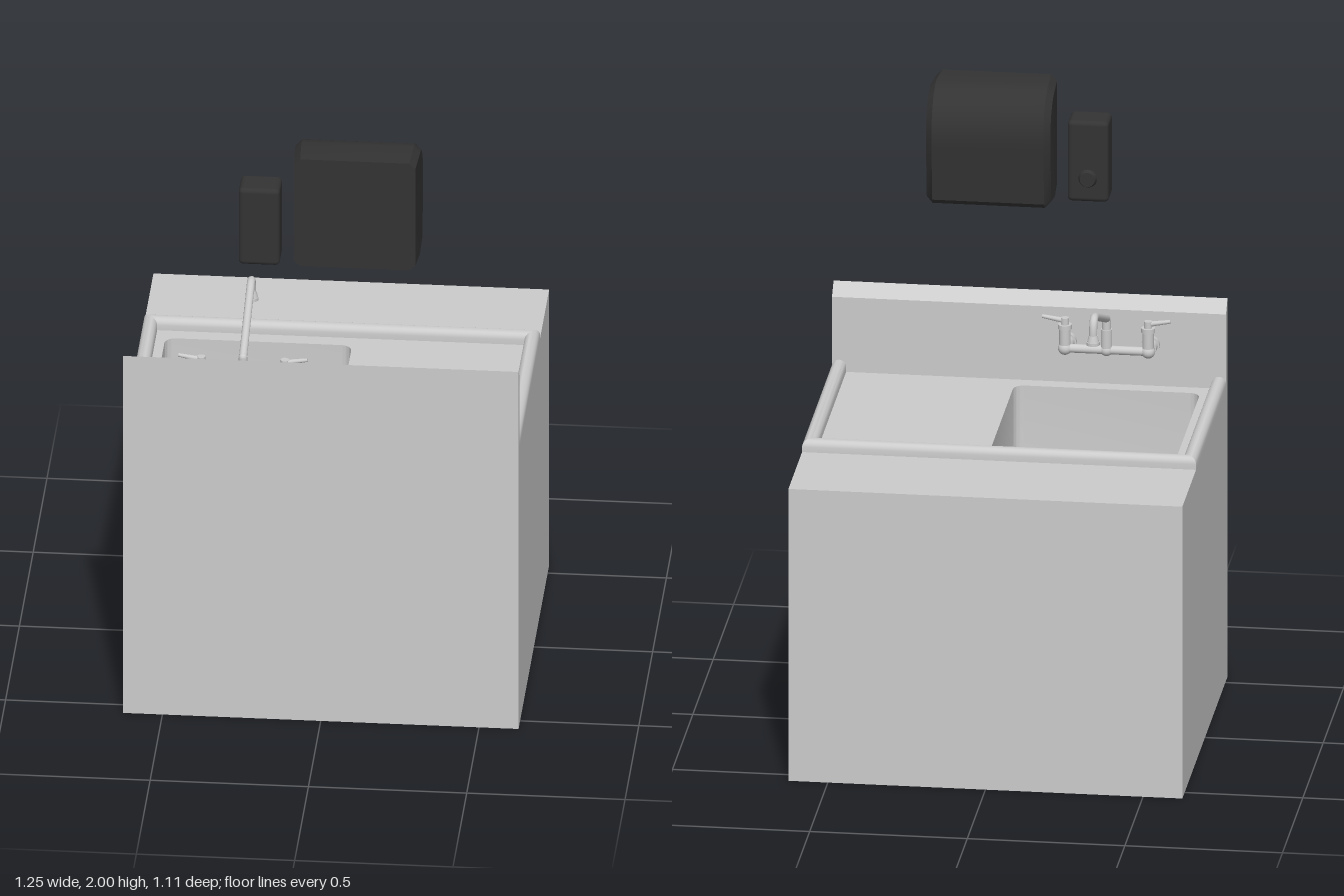
import * as THREE from 'three';
import { toCreasedNormals } from 'three/addons/utils/BufferGeometryUtils.js';
import { RoundedBoxGeometry } from 'three/addons/geometries/RoundedBoxGeometry.js';

const steel = new THREE.MeshStandardMaterial({ color: 0xcccccc });
const steelSheet = new THREE.MeshStandardMaterial({ color: 0xcccccc, side: THREE.DoubleSide });
const black = new THREE.MeshStandardMaterial({ color: 0x333333 });

const DECK = 0.98, BASIN_FLOOR = 0.58;
const V = (x, y, z) => new THREE.Vector3(x, y, z);

function add(parent, name, geometry, material = steel, position = V(0, 0, 0)) {
  const mesh = new THREE.Mesh(geometry, material);
  mesh.name = name;
  mesh.position.copy(position);
  parent.add(mesh);
  return mesh;
}

// Round bar between two points
function rod(parent, name, from, to, r0, r1 = r0, sides = 20) {
  const dir = to.clone().sub(from);
  const mesh = add(parent, name, new THREE.CylinderGeometry(r1, r0, dir.length(), sides), steel,
    from.clone().add(to).multiplyScalar(0.5));
  mesh.quaternion.setFromUnitVectors(V(0, 1, 0), dir.normalize());
  return mesh;
}

// Skin a row of equal-length cross-sections
function loft(rows, crease = 0.6) {
  const n = rows[0].length, index = [];
  for (let i = 0; i < rows.length - 1; i++) {
    for (let j = 0; j < n - 1; j++) {
      const a = i * n + j, b = a + n;
      index.push(a, b, a + 1, a + 1, b, b + 1);
    }
  }
  const g = new THREE.BufferGeometry().setFromPoints(rows.flat());
  g.setIndex(index);
  return toCreasedNormals(g, crease);
}

// Rounded outline of the basin, shrunk by an inset (shape y = world z)
function basinOutline(inset) {
  const cx = -0.255, cz = 0.17, h = 0.295 - inset, r = 0.035 - inset * 0.6, q = h - r;
  const s = new THREE.Path();
  [[q, q, 0], [-q, q, 1], [-q, -q, 2], [q, -q, 3]].forEach(([x, z, k]) =>
    s.absarc(cx + x, cz + z, r, k * Math.PI / 2, (k + 1) * Math.PI / 2, false));
  s.closePath();
  return s;
}

// Extrude a (z, y) profile along x, centred on x = 0
function extrudeAcross(points, depth, options = {}) {
  const g = new THREE.ExtrudeGeometry(new THREE.Shape(points.map(p => new THREE.Vector2(...p))),
    { depth, bevelEnabled: false, ...options });
  return g.rotateY(-Math.PI / 2).translate(depth / 2, 0, 0);
}

function buildCabinet() {
  const group = new THREE.Group();
  group.name = 'sinkCabinet';

  // Cabinet and backsplash in one profile, left open where the deck goes
  const body = extrudeAcross([[-0.555, 0], [-0.555, DECK], [0.515, DECK], [0.515, 1.23],
    [0.555, 1.27], [0.555, 0]], 1.25);
  const p = body.attributes.position, kept = [];
  for (let i = 0; i < p.count; i += 3) {
    const isDeck = [0, 1, 2].every(k => Math.abs(p.getY(i + k) - DECK) < 1e-4);
    if (!isDeck) kept.push(i, i + 1, i + 2);
  }
  body.setIndex(kept);
  body.clearGroups();
  add(group, 'cabinetBody', body, steelSheet);

  // Worktop with the basin opening
  const deck = new THREE.Shape([[-0.625, -0.555], [0.625, -0.555], [0.625, 0.515], [-0.625, 0.515]]
    .map(c => new THREE.Vector2(...c)));
  deck.holes.push(basinOutline(0));
  add(group, 'worktop', new THREE.ShapeGeometry(deck).rotateX(Math.PI / 2).translate(0, DECK, 0), steelSheet);

  // Basin walls with a filleted floor
  const ring = (inset, y) => basinOutline(inset).getPoints(8).map(v => V(v.x, y, v.y));
  const r = 0.025, rows = [ring(0, DECK)];
  for (let i = 0; i <= 5; i++) {
    const a = i / 5 * Math.PI / 2;
    rows.push(ring(r * (1 - Math.cos(a)), BASIN_FLOOR + r * (1 - Math.sin(a))));
  }
  add(group, 'basinWalls', loft(rows), steelSheet);
  const floor = new THREE.Shape(basinOutline(r).getPoints(8));
  add(group, 'basinFloor', new THREE.ShapeGeometry(floor).rotateX(Math.PI / 2).translate(0, BASIN_FLOOR, 0), steelSheet);
  rod(group, 'drain', V(-0.255, BASIN_FLOOR, 0.17), V(-0.255, BASIN_FLOOR + 0.006, 0.17), 0.023);

  // Raised half-round rim, mitred around three sides
  const w = 0.0225, section = [[0, DECK]];
  for (let i = 0; i <= 10; i++) {
    const a = Math.PI * i / 10;
    section.push([w - w * Math.cos(a), 1.02 - w + w * Math.sin(a)]);
  }
  section.push([2 * w, DECK]);
  const rim = [[-1, 0.515, 0], [-1, -0.22, 1], [1, -0.22, 1], [1, 0.515, 0]].map(([s, z, mitre]) =>
    section.map(([d, y]) => V(s * (0.625 - d), y, z + mitre * d)));
  add(group, 'raisedRim', loft(rim), steelSheet);
  return group;
}

function buildFaucet() {
  const group = new THREE.Group();
  group.name = 'faucet';
  const x = -0.255, y = 1.12, z = 0.445;

  // Two wall valves with outward levers
  [[-1, -0.387], [1, -0.123]].forEach(([side, vx]) => {
    const valve = new THREE.Group();
    valve.name = side < 0 ? 'rightValve' : 'leftValve';
    group.add(valve);
    rod(valve, 'wallFlange', V(vx, y, 0.516), V(vx, y, 0.497), 0.029);
    rod(valve, 'valveCollar', V(vx, y, 0.497), V(vx, y, 0.472), 0.024, 0.022);
    rod(valve, 'valveInlet', V(vx, y, 0.475), V(vx, y, z), 0.018);
    add(valve, 'valveElbow', new THREE.SphereGeometry(0.022, 20, 14), steel, V(vx, y, z));
    rod(valve, 'valveStem', V(vx, y, z), V(vx, 1.19, z), 0.018);
    rod(valve, 'stemCap', V(vx, 1.185, z), V(vx, 1.2, z), 0.022);
    rod(valve, 'leverHub', V(vx, 1.2, z), V(vx, 1.222, z), 0.013);
    rod(valve, 'lever', V(vx, 1.212, z), V(vx + side * 0.072, 1.224, z), 0.009, 0.006, 12);
  });

  // Bridge and riser
  rod(group, 'bridgePipe', V(-0.387, y, z), V(-0.123, y, z), 0.014);
  add(group, 'bridgeJoint', new THREE.SphereGeometry(0.02, 20, 14), steel, V(x, y, z));
  rod(group, 'riser', V(x, y, z), V(x, 1.19, z), 0.018);
  rod(group, 'riserNeck', V(x, 1.19, z), V(x, 1.225, z), 0.014);
  add(group, 'swivelJoint', new THREE.SphereGeometry(0.0135, 16, 12), steel, V(x, 1.225, z));

  // Long sloping spout that turns down at the end
  const spout = new THREE.CurvePath();
  spout.add(new THREE.LineCurve3(V(x, 1.225, z), V(x, 1.331, 0.175)));
  spout.add(new THREE.CubicBezierCurve3(V(x, 1.331, 0.175), V(x, 1.347, 0.135), V(x, 1.338, 0.117), V(x, 1.285, 0.117)));
  add(group, 'spout', new THREE.TubeGeometry(spout, 48, 0.0128, 14), steelSheet);
  rod(group, 'nozzle', V(x, 1.289, 0.117), V(x, 1.268, 0.117), 0.0135, 0.019);
  rod(group, 'nozzleLip', V(x, 1.268, 0.117), V(x, 1.258, 0.117), 0.021);
  return group;
}

function buildTowelDispenser() {
  const group = new THREE.Group();
  group.name = 'towelDispenser';
  const bevel = 0.02, width = 0.395;
  // Curved hood profile with chamfered cheeks
  const g = extrudeAcross([[0.555, 1.995], [0.45, 2.0], [0.415, 1.993], [0.38, 1.975], [0.35, 1.945],
    [0.33, 1.905], [0.323, 1.86], [0.325, 1.82], [0.345, 1.635], [0.357, 1.62], [0.455, 1.603], [0.555, 1.615]],
  width - 2 * bevel, { bevelEnabled: true, bevelSize: bevel, bevelOffset: -bevel, bevelThickness: bevel, bevelSegments: 1 });
  // Flatten the back against the wall and narrow it slightly
  const p = g.attributes.position;
  for (let i = 0; i < p.count; i++) {
    if (p.getZ(i) > 0.52) p.setXYZ(i, p.getX(i) * 0.97, p.getY(i), 0.555);
  }
  g.computeVertexNormals();
  add(group, 'towelHood', toCreasedNormals(g, 0.45), black, V(0.1075, 0, 0));
  return group;
}

function buildSoapDispenser() {
  const group = new THREE.Group();
  group.name = 'soapDispenser';
  add(group, 'soapCase', new RoundedBoxGeometry(0.13, 0.27, 0.105, 3, 0.015), black, V(-0.195, 1.745, 0.5025));
  rod(group, 'pushButton', V(-0.195, 1.69, 0.455), V(-0.195, 1.69, 0.436), 0.032, 0.024).material = black;
  return group;
}

export function createModel() {
  const model = new THREE.Group();
  model.name = 'handWashStation';
  model.add(buildCabinet(), buildFaucet(), buildTowelDispenser(), buildSoapDispenser());
  return model;
}
